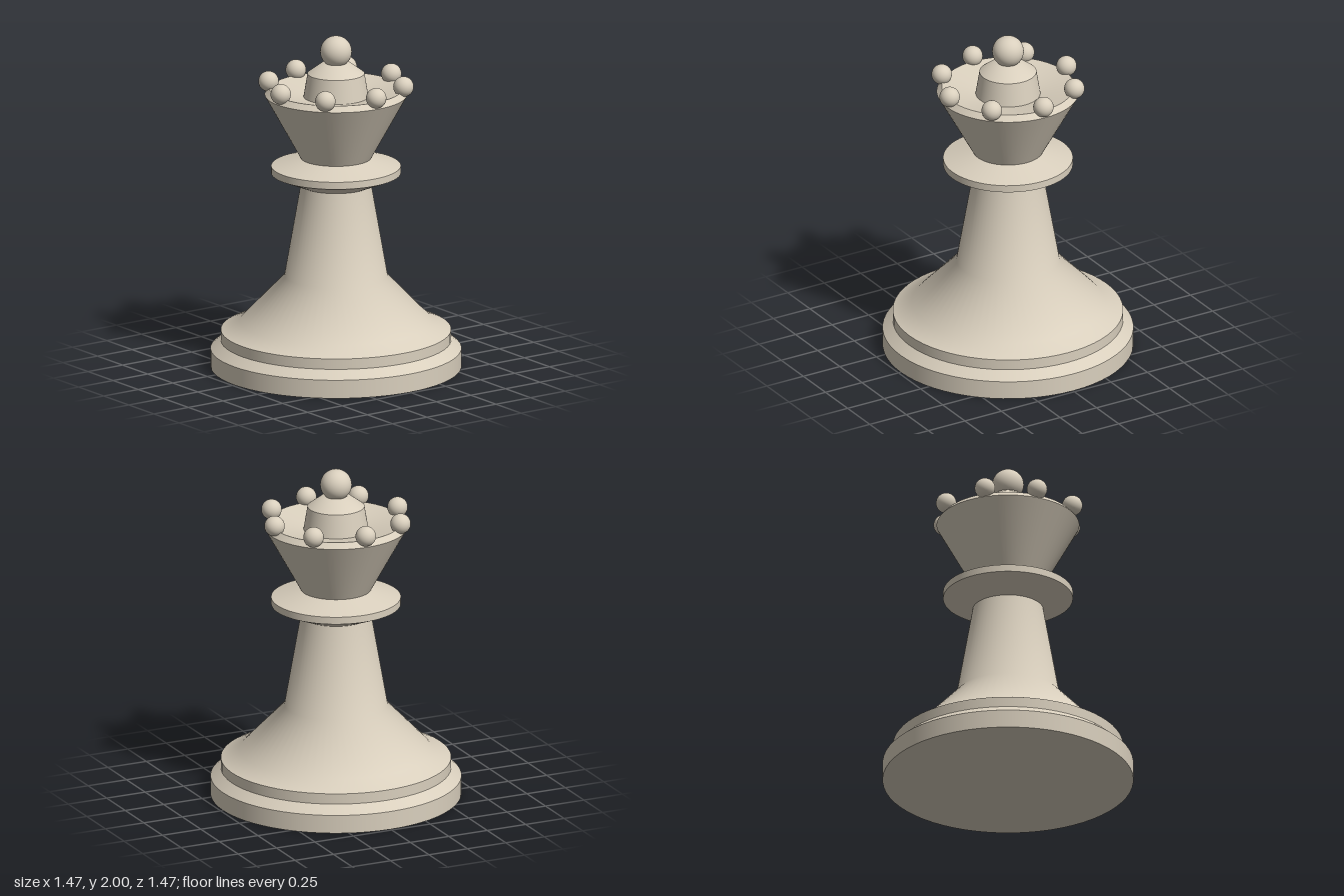
import * as THREE from 'three';

const ivory = new THREE.MeshStandardMaterial({ color: 0xd9cfbd });
ivory.name = 'ivory';

export function createModel() {
  const group = new THREE.Group();
  group.name = 'chessQueen';

  // Turned part: each run is shaded smoothly, with a sharp edge between runs
  const turned = (name, ...runs) => {
    const part = new THREE.Group();
    part.name = name;
    runs.forEach((run, i) => {
      const points = run.map(([r, y]) => new THREE.Vector2(r, y));
      const mesh = new THREE.Mesh(new THREE.LatheGeometry(points, 64), ivory);
      mesh.name = `${name}Surface${i + 1}`;
      part.add(mesh);
    });
    group.add(part);
  };

  const ball = (name, radius, x, y, z) => {
    const mesh = new THREE.Mesh(new THREE.SphereGeometry(radius, 32, 20), ivory);
    mesh.name = name;
    mesh.position.set(x, y, z);
    group.add(mesh);
  };

  // Stepped foot
  turned('base',
    [[0, 0], [0.735, 0]],
    [[0.735, 0], [0.735, 0.11]],
    [[0.735, 0.11], [0.675, 0.16]],
    [[0.675, 0.16], [0.675, 0.223]]);

  // Flared skirt running into the tapered stem
  turned('stem', [[0.675, 0.223], [0.565, 0.275], [0.303, 0.55], [0.207, 1.1]]);

  // Collar disc
  turned('collar',
    [[0.207, 1.1], [0.38, 1.172]],
    [[0.38, 1.172], [0.38, 1.215]],
    [[0.38, 1.215], [0.207, 1.265]]);

  // Flared crown with bevelled rim and dished top
  turned('crown',
    [[0.207, 1.265], [0.418, 1.647]],
    [[0.418, 1.647], [0.388, 1.68]],
    [[0.388, 1.68], [0.19, 1.635]]);

  // Cap in the middle of the crown
  turned('cap',
    [[0.19, 1.635], [0.167, 1.775]],
    [[0.167, 1.775], [0.083, 1.837], [0, 1.837]]);

  // Finial and the eight pearls around the rim
  ball('finial', 0.093, 0, 1.907, 0);
  for (let i = 0; i < 8; i++) {
    const a = (i * Math.PI) / 4;
    ball(`pearl${i + 1}`, 0.06, 0.4 * Math.sin(a), 1.71, 0.4 * Math.cos(a));
  }
  return group;
}
